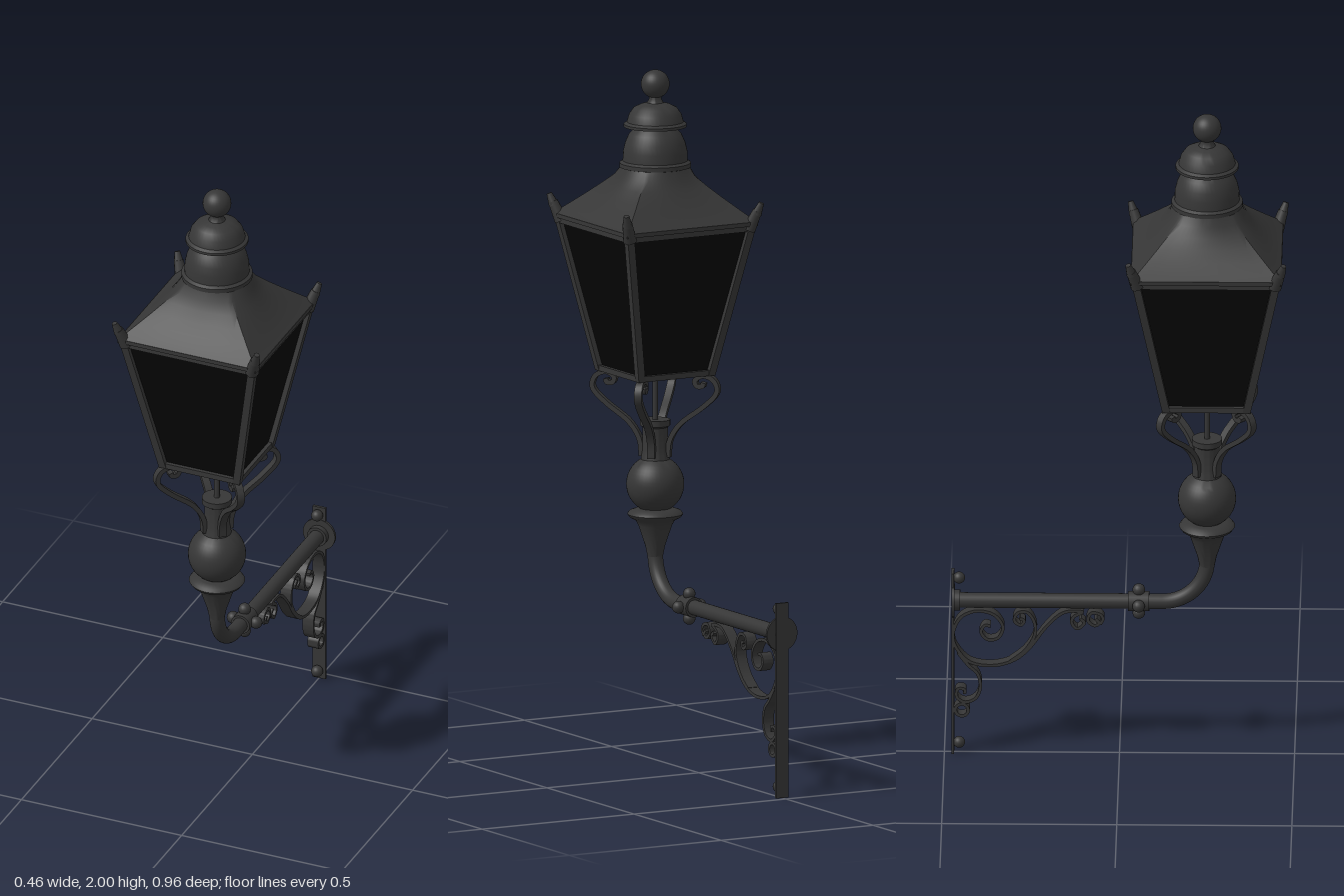
import * as THREE from 'three';
import { toCreasedNormals } from 'three/addons/utils/BufferGeometryUtils.js';

const metal = new THREE.MeshStandardMaterial({ color: 0x363636 });
metal.name = 'castIron';
const glass = new THREE.MeshStandardMaterial({ color: 0x050505, side: THREE.DoubleSide });
glass.name = 'darkGlass';

const LZ = 0.25;      // lantern axis
const PIPE_Y = 0.475; // arm height
const WALL_Z = -0.48;

const V = (x, y, z) => new THREE.Vector3(x, y, z);

function add(parent, name, geo, mat = metal, x = 0, y = 0, z = 0) {
  const m = new THREE.Mesh(geo, mat);
  m.name = name;
  m.position.set(x, y, z);
  parent.add(m);
  return m;
}

function lathe(points, segs = 40) {
  const g = new THREE.LatheGeometry(points.map(([r, y]) => new THREE.Vector2(r, y)), segs);
  return toCreasedNormals(g, 0.7);
}

// Straight member between two points
function between(parent, name, a, b, geoFor) {
  const d = b.clone().sub(a);
  const m = add(parent, name, geoFor(d.length()));
  m.position.copy(a).add(b).multiplyScalar(0.5);
  m.quaternion.setFromUnitVectors(V(0, 1, 0), d.normalize());
  return m;
}

// Flat iron strip following a curve in the (z, y) plane
function ribbon(pts, width, thick, steps = 48) {
  const curve = new THREE.SplineCurve(pts.map(([a, b]) => new THREE.Vector2(a, b)));
  const left = [], right = [];
  for (let i = 0; i <= steps; i++) {
    const p = curve.getPoint(i / steps), t = curve.getTangent(i / steps);
    const n = new THREE.Vector2(-t.y, t.x).multiplyScalar(thick / 2);
    left.push(p.clone().add(n));
    right.push(p.clone().sub(n));
  }
  const shape = new THREE.Shape(left.concat(right.reverse()));
  const g = new THREE.ExtrudeGeometry(shape, { depth: width, bevelEnabled: false });
  g.translate(0, 0, -width / 2);
  g.rotateY(-Math.PI / 2);
  return toCreasedNormals(g, 0.6);
}

// Roof skin blending from a square eave to a round collar
function roofGeometry() {
  const rings = [[1.572, 0.215, 0], [1.588, 0.196, 0], [1.612, 0.172, 0.05], [1.64, 0.147, 0.18],
    [1.668, 0.125, 0.4], [1.695, 0.108, 0.75], [1.725, 0.096, 1]];
  const N = 64, pos = [], idx = [];
  for (const [y, h, round] of rings) {
    for (let i = 0; i < N; i++) {
      const a = (i / N) * Math.PI * 2, c = Math.cos(a), s = Math.sin(a);
      const k = h * THREE.MathUtils.lerp(1 / Math.max(Math.abs(c), Math.abs(s)), 1, round);
      pos.push(c * k, y, s * k);
    }
  }
  for (let r = 0; r < rings.length - 1; r++) {
    for (let i = 0; i < N; i++) {
      const a = r * N + i, b = r * N + (i + 1) % N;
      idx.push(a, a + N, b, b, a + N, b + N);
    }
  }
  const g = new THREE.BufferGeometry();
  g.setAttribute('position', new THREE.Float32BufferAttribute(pos, 3));
  g.setIndex(idx);
  return toCreasedNormals(g, 0.6);
}

function buildLantern() {
  const g = new THREE.Group();
  g.name = 'lantern';
  g.position.z = LZ;

  // Glazed body
  const pane = new THREE.CylinderGeometry(0.198 * Math.SQRT2, 0.113 * Math.SQRT2, 0.425, 4);
  pane.rotateY(Math.PI / 4);
  add(g, 'glassPanes', toCreasedNormals(pane, 0.2), glass, 0, 1.348, 0);

  // Frame rails, corner posts and corner horns
  for (let k = 0; k < 4; k++) {
    const side = new THREE.Group();
    side.name = 'frameSide';
    side.rotation.y = k * Math.PI / 2;
    g.add(side);
    add(side, 'bottomRail', new THREE.BoxGeometry(0.25, 0.016, 0.024), metal, 0, 1.13, 0.113);
    add(side, 'topRail', new THREE.BoxGeometry(0.41, 0.016, 0.014), metal, 0, 1.553, 0.2);
    between(side, 'cornerPost', V(0.115, 1.125, 0.115), V(0.201, 1.565, 0.201),
      l => new THREE.BoxGeometry(0.022, l, 0.022));
    between(side, 'cornerHorn', V(0.196, 1.55, 0.196), V(0.214, 1.605, 0.214),
      l => new THREE.CylinderGeometry(0.014, 0.02, l, 10));
    between(side, 'hornTip', V(0.212, 1.595, 0.212), V(0.222, 1.628, 0.222),
      l => new THREE.CylinderGeometry(0.008, 0.015, l, 10));
  }
  add(g, 'eave', new THREE.BoxGeometry(0.43, 0.012, 0.43), metal, 0, 1.567, 0);
  add(g, 'roof', roofGeometry());

  // Tiered chimney and ball finial
  add(g, 'chimney', lathe([[0.085, 1.715], [0.102, 1.72], [0.102, 1.732], [0.093, 1.738], [0.092, 1.765],
    [0.086, 1.79], [0.075, 1.815], [0.058, 1.832], [0.058, 1.836], [0.09, 1.836], [0.09, 1.844],
    [0.081, 1.85], [0.075, 1.872], [0.062, 1.89], [0.042, 1.9], [0.024, 1.905], [0.018, 1.915], [0.018, 1.935]]));
  add(g, 'finialBall', new THREE.SphereGeometry(0.041, 32, 20), metal, 0, 1.959, 0);

  // Supply rod and four scrolled supports on the diagonals
  add(g, 'rod', new THREE.CylinderGeometry(0.008, 0.008, 0.2, 12), metal, 0, 1.045, 0);
  const arm = [[0.028, 0.88], [0.032, 0.93], [0.055, 0.98], [0.1, 1.028], [0.129, 1.07], [0.125, 1.105],
    [0.103, 1.12], [0.085, 1.107], [0.088, 1.09], [0.1, 1.09], [0.102, 1.1]];
  const armGeo = ribbon(arm.map(([d, y]) => [d * Math.SQRT2, y]), 0.022, 0.014);
  for (let k = 0; k < 4; k++) {
    add(g, 'scrollSupport', armGeo).rotation.y = Math.PI / 4 + k * Math.PI / 2;
  }
  return g;
}

function buildStem() {
  const g = new THREE.Group();
  g.name = 'stem';
  // Turned column with bulb and socket
  const ball = [];
  for (let i = 0; i <= 14; i++) {
    const a = -1.0 + (i / 14) * 2.05;
    ball.push([0.083 * Math.cos(a), 0.8 + 0.083 * Math.sin(a)]);
  }
  add(g, 'column', lathe([[0.022, 0.59], [0.028, 0.62], [0.038, 0.65], [0.048, 0.68], [0.056, 0.695],
    [0.074, 0.705], [0.08, 0.714], [0.074, 0.722], [0.056, 0.728], ...ball, [0.039, 0.885], [0.036, 0.9],
    [0.036, 0.965], [0.043, 0.97], [0.043, 0.987], [0, 0.987]]), metal, 0, 0, LZ);

  // Swept pipe to the wall
  const path = new THREE.CurvePath();
  const k = 0.07, y = PIPE_Y;
  path.add(new THREE.CubicBezierCurve3(V(0, y + 0.127, LZ), V(0, y + 0.127 - k, LZ),
    V(0, y, LZ - 0.127 + k), V(0, y, LZ - 0.127)));
  path.add(new THREE.LineCurve3(V(0, y, LZ - 0.127), V(0, y, WALL_Z)));
  add(g, 'pipe', new THREE.TubeGeometry(path, 80, 0.022, 24, false));

  // Collar with round studs
  const collar = new THREE.CylinderGeometry(0.029, 0.029, 0.06, 24).rotateX(Math.PI / 2);
  add(g, 'collar', collar, metal, 0, y, 0.055);
  for (let i = 0; i < 4; i++) {
    const a = i * Math.PI / 2;
    add(g, 'collarStud', new THREE.SphereGeometry(0.018, 16, 12), metal,
      0.036 * Math.cos(a), y + 0.036 * Math.sin(a), 0.055);
  }
  return g;
}

function buildWallBracket() {
  const g = new THREE.Group();
  g.name = 'wallBracket';
  add(g, 'wallPlate', new THREE.BoxGeometry(0.04, 0.565, 0.008), metal, 0, 0.2825, WALL_Z + 0.004);
  add(g, 'wallFlange', new THREE.CylinderGeometry(0.05, 0.05, 0.008, 32).rotateX(Math.PI / 2),
    metal, 0, PIPE_Y, WALL_Z + 0.005);
  add(g, 'pipeRing', new THREE.CylinderGeometry(0.03, 0.03, 0.018, 28).rotateX(Math.PI / 2),
    metal, 0, PIPE_Y, WALL_Z + 0.016);
  for (const y of [0.03, 0.545]) {
    add(g, 'boltHead', new THREE.SphereGeometry(0.017, 20, 14), metal, 0, y, -0.458);
    add(g, 'boltShank', new THREE.CylinderGeometry(0.009, 0.009, 0.02, 12).rotateX(Math.PI / 2), metal, 0, y, -0.468);
  }

  // Scrolled ironwork under the arm
  const scrolls = {
    mainScroll: [[-0.112, 0.425], [-0.1, 0.412], [-0.12, 0.394], [-0.136, 0.412], [-0.13, 0.432], [-0.105, 0.447],
      [-0.16, 0.444], [-0.21, 0.398], [-0.255, 0.335], [-0.3, 0.295], [-0.36, 0.277], [-0.425, 0.287],
      [-0.465, 0.33], [-0.475, 0.375], [-0.455, 0.425], [-0.41, 0.447], [-0.36, 0.437], [-0.333, 0.4],
      [-0.345, 0.365], [-0.375, 0.358], [-0.395, 0.38], [-0.385, 0.402], [-0.368, 0.4]],
    middleScroll: [[-0.285, 0.425], [-0.272, 0.418], [-0.282, 0.404], [-0.3, 0.418], [-0.29, 0.442], [-0.262, 0.443],
      [-0.242, 0.41], [-0.243, 0.37], [-0.27, 0.325], [-0.31, 0.292]],
    frontCurl: [[-0.068, 0.425], [-0.058, 0.412], [-0.072, 0.404], [-0.09, 0.42], [-0.08, 0.443],
      [-0.056, 0.44], [-0.047, 0.425], [-0.055, 0.408]],
    lowerScroll: [[-0.46, 0.315], [-0.432, 0.278], [-0.405, 0.25], [-0.397, 0.21], [-0.41, 0.175], [-0.44, 0.162],
      [-0.464, 0.177], [-0.462, 0.202], [-0.443, 0.202], [-0.442, 0.188]],
  };
  for (const [name, pts] of Object.entries(scrolls)) {
    add(g, name, ribbon(pts, 0.034, 0.009, pts.length * 6));
  }
  const ring = new THREE.Shape().absarc(0, 0, 0.023, 0, Math.PI * 2);
  ring.holes.push(new THREE.Path().absarc(0, 0, 0.014, 0, Math.PI * 2, true));
  const ringGeo = new THREE.ExtrudeGeometry(ring, { depth: 0.034, bevelEnabled: false, curveSegments: 20 });
  ringGeo.translate(0, 0, -0.017).rotateY(-Math.PI / 2);
  add(g, 'lowerRing', toCreasedNormals(ringGeo, 0.6), metal, 0, 0.137, -0.45);
  return g;
}

export function createModel() {
  const model = new THREE.Group();
  model.name = 'wallLantern';
  model.add(buildLantern(), buildStem(), buildWallBracket());
  return model;
}
